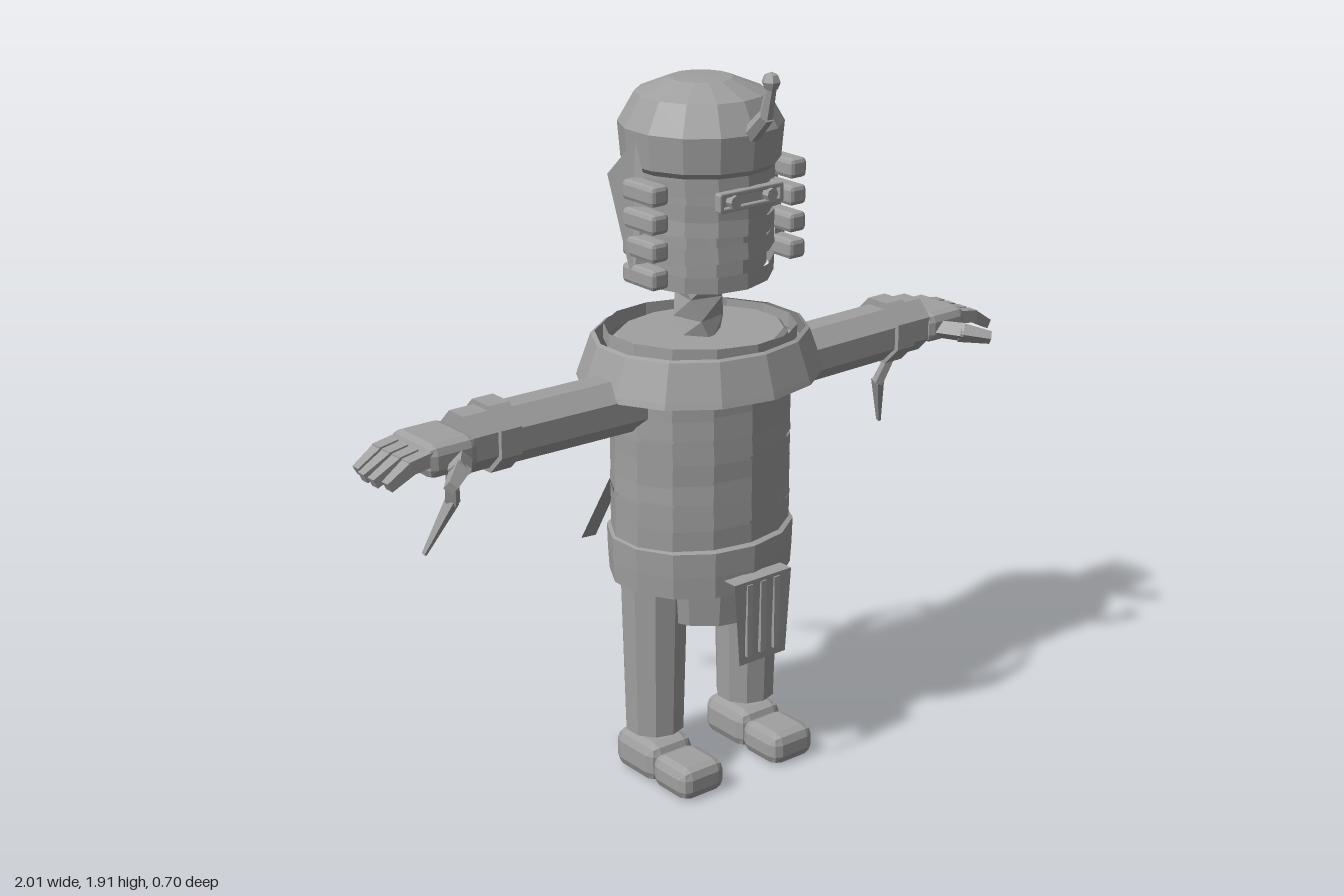
import * as THREE from 'three';
import { RoundedBoxGeometry } from 'three/addons/geometries/RoundedBoxGeometry.js';

const grey = new THREE.MeshStandardMaterial({ color: 0xa0a0a0, flatShading: true, side: THREE.DoubleSide });
const CZ = 0.057; // depth of the body axis

function add(parent, name, geo, x = 0, y = 0, z = 0) {
  const m = new THREE.Mesh(geo, grey);
  m.name = name;
  m.position.set(x, y, z);
  parent.add(m);
  return m;
}

// Turned shell from [radius, y] points, flattened front to back
function turned(parent, name, pts, sides = 14, depth = 1) {
  const g = new THREE.LatheGeometry(pts.map(p => new THREE.Vector2(p[0], p[1])), sides);
  g.scale(1, 1, depth);
  return add(parent, name, g, 0, 0, CZ);
}

// Tapered prism between two points
function rod(parent, name, a, b, r1, r2, sides = 6, flat = 1) {
  const A = new THREE.Vector3(...a), B = new THREE.Vector3(...b);
  const d = B.clone().sub(A);
  const g = new THREE.CylinderGeometry(r2, r1, d.length(), sides);
  g.rotateY(Math.PI / sides);
  g.scale(1, 1, flat);
  const m = add(parent, name, g);
  m.position.copy(A).add(B).multiplyScalar(0.5);
  m.quaternion.setFromUnitVectors(new THREE.Vector3(0, 1, 0), d.normalize());
  return m;
}

// Thin quad sheet from four corners
function sheet(parent, name, c) {
  const g = new THREE.BufferGeometry();
  g.setAttribute('position', new THREE.Float32BufferAttribute(c.flat(), 3));
  g.setIndex([0, 1, 2, 0, 2, 3]);
  g.computeVertexNormals();
  return add(parent, name, g);
}

// Stack of open bandage loops, each leaning a different way
function wraps(parent, name, y0, y1, count, height, r, depth, lean) {
  for (let i = 0; i < count; i++) {
    const g = new THREE.CylinderGeometry(r, r, height, 14, 1, true);
    g.scale(1, 1, depth);
    const m = add(parent, name, g, 0, y0 + (y1 - y0) * i / (count - 1), CZ);
    m.rotation.set(Math.cos(i * 2.1) * lean, 0, Math.sin(i * 1.9 + 0.6) * lean);
  }
}

function box(parent, name, w, h, d, x, y, z, r) {
  return add(parent, name, new RoundedBoxGeometry(w, h, d, 1, r), x, y, z);
}

function buildHead(g) {
  turned(g, 'head', [[0, 1.335], [0.1, 1.34], [0.166, 1.38], [0.166, 1.66]], 14);
  wraps(g, 'headWrap', 1.385, 1.62, 5, 0.043, 0.185, 1, 0.07);
  turned(g, 'cap', [[0.185, 1.64], [0.2, 1.655], [0.208, 1.745], [0.165, 1.82], [0.08, 1.855], [0, 1.858]], 14);

  // Cap stalk with a knob
  rod(g, 'stalk', [0, 1.745, 0.25], [0, 1.80, 0.305], 0.024, 0.02);
  rod(g, 'stalk', [0, 1.795, 0.302], [0, 1.87, 0.32], 0.018, 0.014);
  add(g, 'knob', new THREE.SphereGeometry(0.024, 6, 4), 0, 1.885, 0.32);

  // Eye frame
  for (const y of [1.568, 1.606]) box(g, 'eyeFrame', 0.2, 0.012, 0.022, 0, y, 0.245, 0.003);
  box(g, 'eyePlate', 0.18, 0.035, 0.012, 0, 1.587, 0.238, 0.003);
  for (const s of [-1, 1]) {
    box(g, 'eyeFrame', 0.014, 0.045, 0.022, s * 0.095, 1.587, 0.245, 0.003);
    const eye = new THREE.CylinderGeometry(0.017, 0.017, 0.03, 8);
    eye.rotateX(Math.PI / 2);
    add(g, 'eye', eye, s * 0.058, 1.587, 0.25);
    // Ear blocks and side fin
    for (let i = 0; i < 4; i++)
      box(g, 'earBlock', 0.055, 0.052, 0.125, s * 0.222, 1.40 + i * 0.07, 0.115, 0.012);
    sheet(g, 'earFin', [
      [s * 0.205, 1.725, 0.055], [s * 0.268, 1.645, 0.025],
      [s * 0.25, 1.38, 0.1], [s * 0.21, 1.38, 0.11]]);
    sheet(g, 'earFin', [
      [s * 0.205, 1.725, 0.055], [s * 0.268, 1.645, 0.025],
      [s * 0.25, 1.38, 0.1], [s * 0.2, 1.62, 0.09]]);
  }
}

function buildTorso(g) {
  // Twisted neck
  const neck = new THREE.BoxGeometry(0.09, 0.17, 0.09, 1, 3, 1);
  const p = neck.attributes.position;
  for (let i = 0; i < p.count; i++) {
    const a = (p.getY(i) / 0.17) * 1.3, x = p.getX(i), z = p.getZ(i);
    p.setXYZ(i, x * Math.cos(a) - z * Math.sin(a), p.getY(i), x * Math.sin(a) + z * Math.cos(a));
  }
  add(g, 'neck', neck, -0.007, 1.27, CZ);

  turned(g, 'torso', [[0, 0.56], [0.24, 0.56], [0.24, 1.19], [0.228, 1.2], [0, 1.2]], 14, 0.84);
  wraps(g, 'torsoWrap', 0.71, 1.12, 8, 0.066, 0.25, 0.83, 0.045);
  turned(g, 'belt', [[0.238, 0.545], [0.252, 0.55], [0.256, 0.61], [0.258, 0.675], [0.24, 0.68]], 14, 0.86);
  turned(g, 'pelvis', [[0, 0.45], [0.185, 0.45], [0.2, 0.56]], 14).scale.x = 0.9;

  // Hanging collar and the loose loop inside it
  turned(g, 'collar', [[0.335, 1.09], [0.33, 1.105], [0.295, 1.2], [0.284, 1.205]], 14, 0.87);
  const loop = new THREE.CylinderGeometry(0.262, 0.262, 0.04, 14, 1, true);
  loop.scale(1, 1, 0.86);
  add(g, 'collarLoop', loop, 0, 1.198, CZ).rotation.z = -0.04;

  // Front cloth with raised pleats
  sheet(g, 'frontCloth', [[-0.095, 0.6, 0.312], [-0.07, 0.365, 0.304], [0.085, 0.365, 0.304], [0.095, 0.6, 0.312]]);
  sheet(g, 'clothTop', [[-0.095, 0.6, 0.312], [0.095, 0.6, 0.312], [0.095, 0.6, 0.27], [-0.095, 0.6, 0.27]]);
  for (const x of [-0.045, 0, 0.045]) add(g, 'pleat', new THREE.BoxGeometry(0.018, 0.2, 0.01), x, 0.49, 0.311);

  // Trailing strips at the back
  for (const [x, y] of [[0.13, 0.93], [-0.115, 0.78]])
    sheet(g, 'backStrip', [
      [x - 0.025, y, -0.14], [x + 0.02, y, -0.14],
      [x + 0.065, y - 0.262, -0.335], [x + 0.025, y - 0.265, -0.347]]);
}

function buildArm(g, s) {
  const y = 1.067;
  rod(g, 'arm', [s * 0.2, y - 0.006, CZ], [s * 0.65, y, CZ], 0.079, 0.078, 8);
  rod(g, 'forearm', [s * 0.64, y + 0.004, CZ], [s * 0.75, y + 0.004, CZ], 0.079, 0.079, 8);
  rod(g, 'cuff', [s * 0.62, y + 0.004, CZ], [s * 0.68, y + 0.004, CZ], 0.092, 0.092, 8);
  box(g, 'hand', 0.145, 0.085, 0.18, s * 0.81, y, 0.05, 0.025);
  for (let i = 0; i < 4; i++) {
    const z = -0.014 + i * 0.043, tip = i === 0 || i === 3 ? 0.985 : 0.997;
    rod(g, 'finger', [s * 0.865, 1.078, z], [s * 0.93, 1.068, z], 0.025, 0.024, 4);
    rod(g, 'finger', [s * 0.92, 1.07, z], [s * tip, 1.033, z], 0.024, 0.018, 4);
  }
  rod(g, 'thumb', [s * 0.78, 1.06, 0.12], [s * 0.83, 1.055, 0.185], 0.026, 0.028, 4);
  rod(g, 'thumb', [s * 0.82, 1.055, 0.175], [s * 0.885, 1.04, 0.23], 0.028, 0.018, 4);
  // Loose bandage end
  rod(g, 'armStrip', [s * 0.745, 1.03, 0.025], [s * 0.712, 0.88, -0.03], 0.016, 0.022, 4, 0.7);
  rod(g, 'armStrip', [s * 0.712, 0.885, -0.03], [s * 0.768, 0.74, -0.08], 0.022, 0.008, 4, 0.7);
}

function buildLeg(g, s) {
  const leg = new THREE.CylinderGeometry(0.091, 0.079, 0.45, 10, 6);
  add(g, 'leg', leg, s * 0.157, 0.355, 0.06);
  box(g, 'heel', 0.145, 0.108, 0.17, s * 0.155, 0.054, 0.055, 0.03);
  box(g, 'toe', 0.142, 0.09, 0.145, s * 0.155, 0.045, 0.2, 0.028);
}

export function createModel() {
  const model = new THREE.Group();
  model.name = 'wrappedFigure';
  const part = (name, build, ...args) => {
    const g = new THREE.Group();
    g.name = name;
    build(g, ...args);
    model.add(g);
  };
  part('headGroup', buildHead);
  part('torsoGroup', buildTorso);
  for (const s of [1, -1]) {
    const side = s > 0 ? 'left' : 'right';
    part(side + 'Arm', buildArm, s);
    part(side + 'Leg', buildLeg, s);
  }
  return model;
}
